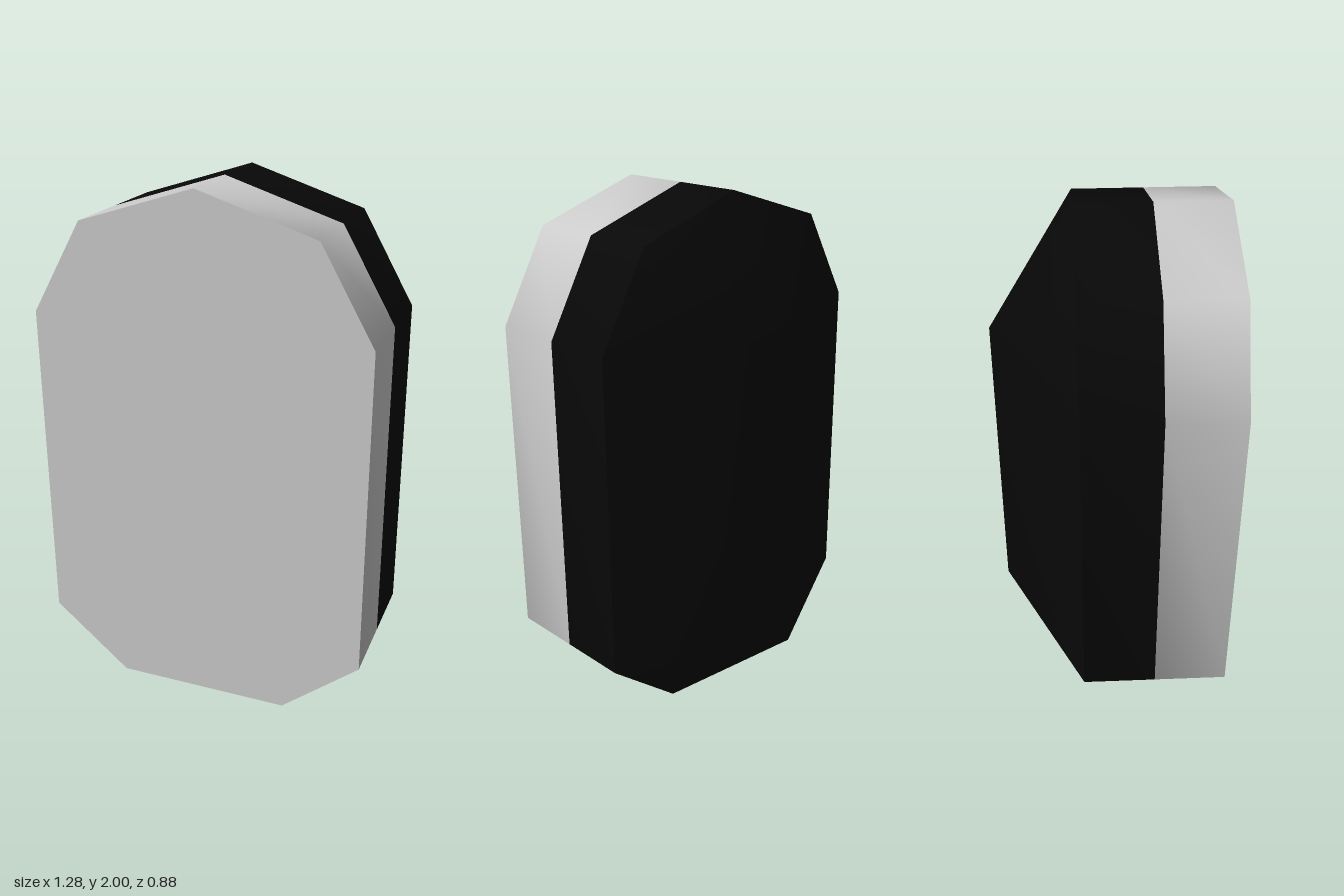
import * as THREE from 'three';

// Outline, counter-clockwise seen from the front
const right = [[0.34, 0], [0.64, 0.25], [0.64, 1.51], [0.44, 1.86]];
const outline = [...right, [0, 2], ...right.map(([x, y]) => [-x, y]).reverse()];
const n = outline.length;
const FRONT = 0.44, SEAM = 0.16, RIM = -0.12, RIDGE = -0.44;

function buildGeometry(points, index) {
  const geometry = new THREE.BufferGeometry();
  geometry.setAttribute('position', new THREE.Float32BufferAttribute(points.flat(), 3));
  geometry.setIndex(index);
  geometry.computeVertexNormals();
  return geometry;
}

// Smooth band joining a back ring to a front ring
function band(backRing, frontRing) {
  const index = [];
  for (let i = 0; i < n; i++) {
    const j = (i + 1) % n;
    index.push(i, j, n + j, i, n + j, n + i);
  }
  return buildGeometry([...backRing, ...frontRing], index);
}

const ringAt = (z) => outline.map(([x, y]) => [x, y, z]);

export function createModel() {
  const model = new THREE.Group();
  const grey = new THREE.MeshStandardMaterial({ color: 0xcccccc });
  const black = new THREE.MeshStandardMaterial({ color: 0x080808 });
  const add = (name, geometry, material) => {
    const mesh = new THREE.Mesh(geometry, material);
    mesh.name = name;
    model.add(mesh);
  };

  // Flat front face
  const face = new THREE.ShapeGeometry(new THREE.Shape(outline.map(([x, y]) => new THREE.Vector2(x, y))));
  face.translate(0, 0, FRONT);
  add('frontFace', face, grey);

  // Light and dark side walls
  add('frontWall', band(ringAt(SEAM), ringAt(FRONT)), grey);
  add('backWall', band(ringAt(RIM), ringAt(SEAM)), black);

  // Back rising to an upright ridge on the centre line
  const low = n, high = n + 1;
  const points = [...ringAt(RIM), [0, 0.25, RIDGE], [0, 1.51, RIDGE]];
  const index = [];
  for (let i = 0; i < n; i++) {
    const j = (i + 1) % n;
    const a = outline[i][1] > 1 ? high : low;
    const b = outline[j][1] > 1 ? high : low;
    index.push(j, i, a);
    if (a !== b) index.push(j, a, b);
  }
  add('ridgedBack', buildGeometry(points, index), black);

  return model;
}
